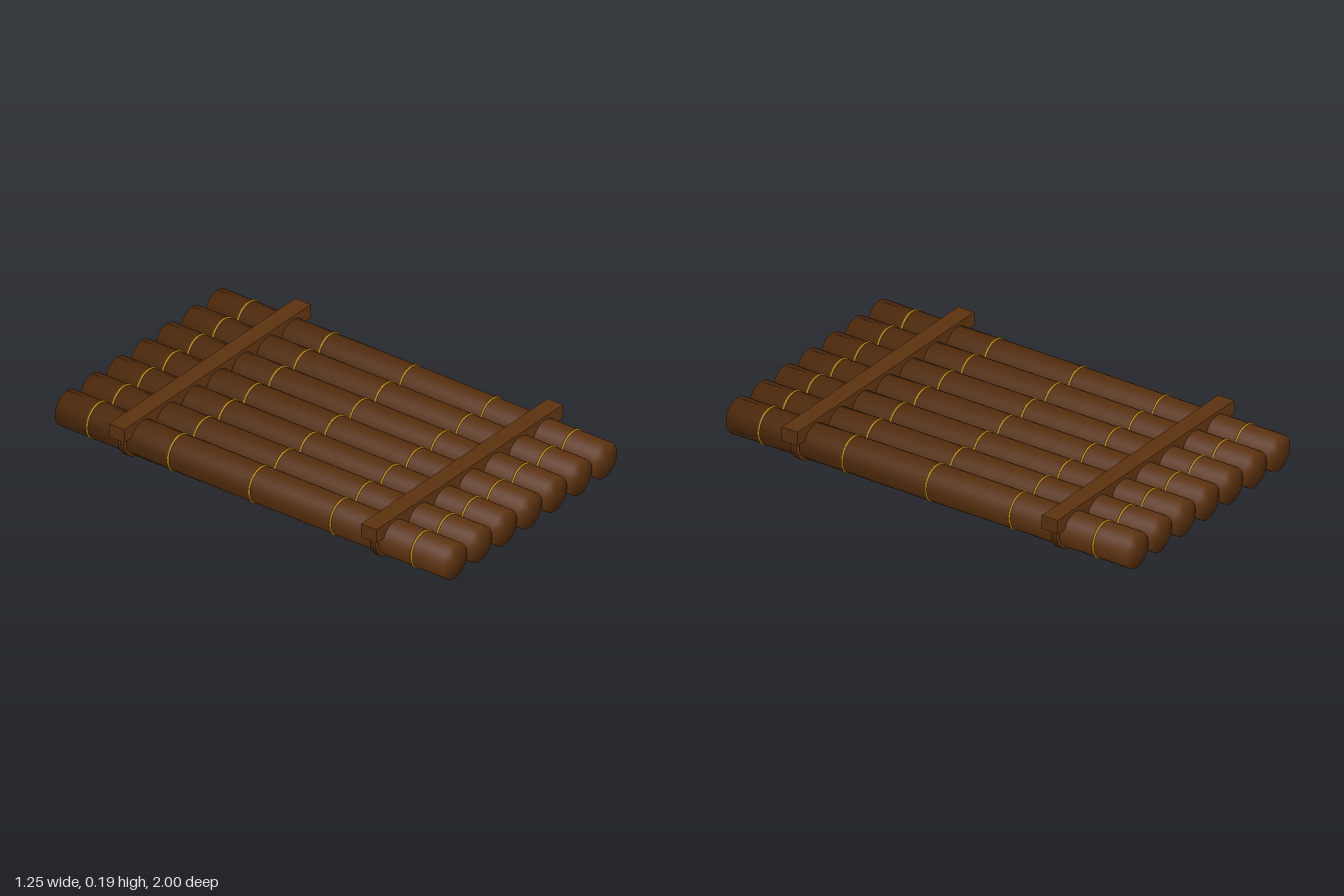
import * as THREE from 'three';

const LOGS = 7, SPACING = 0.1675, RADIUS = 0.08, AXIS_Y = 0.0925;

const wood = new THREE.MeshStandardMaterial({ color: 0x5c3210 });
wood.name = 'brown wood';
const gold = new THREE.MeshStandardMaterial({ color: 0xb8860b });
gold.name = 'golden band';

// Log along z, with normals blended softly across the end rims
function logGeometry() {
  const profile = [[0, -1], [RADIUS, -1], [RADIUS, 1], [0, 1]].map(([x, y]) => new THREE.Vector2(x, y));
  const geometry = new THREE.LatheGeometry(profile, 32);
  const { position, normal } = geometry.attributes;
  const n = new THREE.Vector3();
  for (let i = 0; i < position.count; i++) {
    n.fromBufferAttribute(position, i);
    n.y = Math.sign(n.y) * RADIUS;
    n.normalize();
    normal.setXYZ(i, n.x, n.y, n.z);
  }
  return geometry.rotateX(Math.PI / 2);
}

export function createModel() {
  const raft = new THREE.Group();
  raft.name = 'raft';

  const add = (parent, name, geometry, material, x, y, z) => {
    const mesh = new THREE.Mesh(geometry, material);
    mesh.name = name;
    mesh.position.set(x, y, z);
    parent.add(mesh);
  };

  const log = logGeometry();
  const band = new THREE.TorusGeometry(RADIUS + 0.0005, 0.0045, 8, 32);
  const rope = new THREE.TorusGeometry(RADIUS + 0.0045, 0.007, 8, 32);
  const beam = new THREE.BoxGeometry(1.25, 0.063, 0.08);

  // Logs side by side, each with joint bands and rope lashings
  for (let i = 0; i < LOGS; i++) {
    const pole = new THREE.Group();
    pole.name = 'pole' + (i + 1);
    pole.position.set((i - (LOGS - 1) / 2) * SPACING, AXIS_Y, 0);
    raft.add(pole);
    add(pole, 'log', log, wood, 0, 0, 0);
    for (let k = -2; k <= 2; k++) add(pole, 'jointBand', band, gold, 0, 0, k * 0.418);
    for (const side of [-1, 1]) {
      for (let k = -1; k <= 1; k++) add(pole, 'lashing', rope, wood, 0, 0, side * 0.65 + k * 0.013);
    }
  }

  // Cross beams over the lashings
  add(raft, 'frontBeam', beam, wood, 0, 0.156, 0.65);
  add(raft, 'backBeam', beam, wood, 0, 0.156, -0.65);

  return raft;
}
